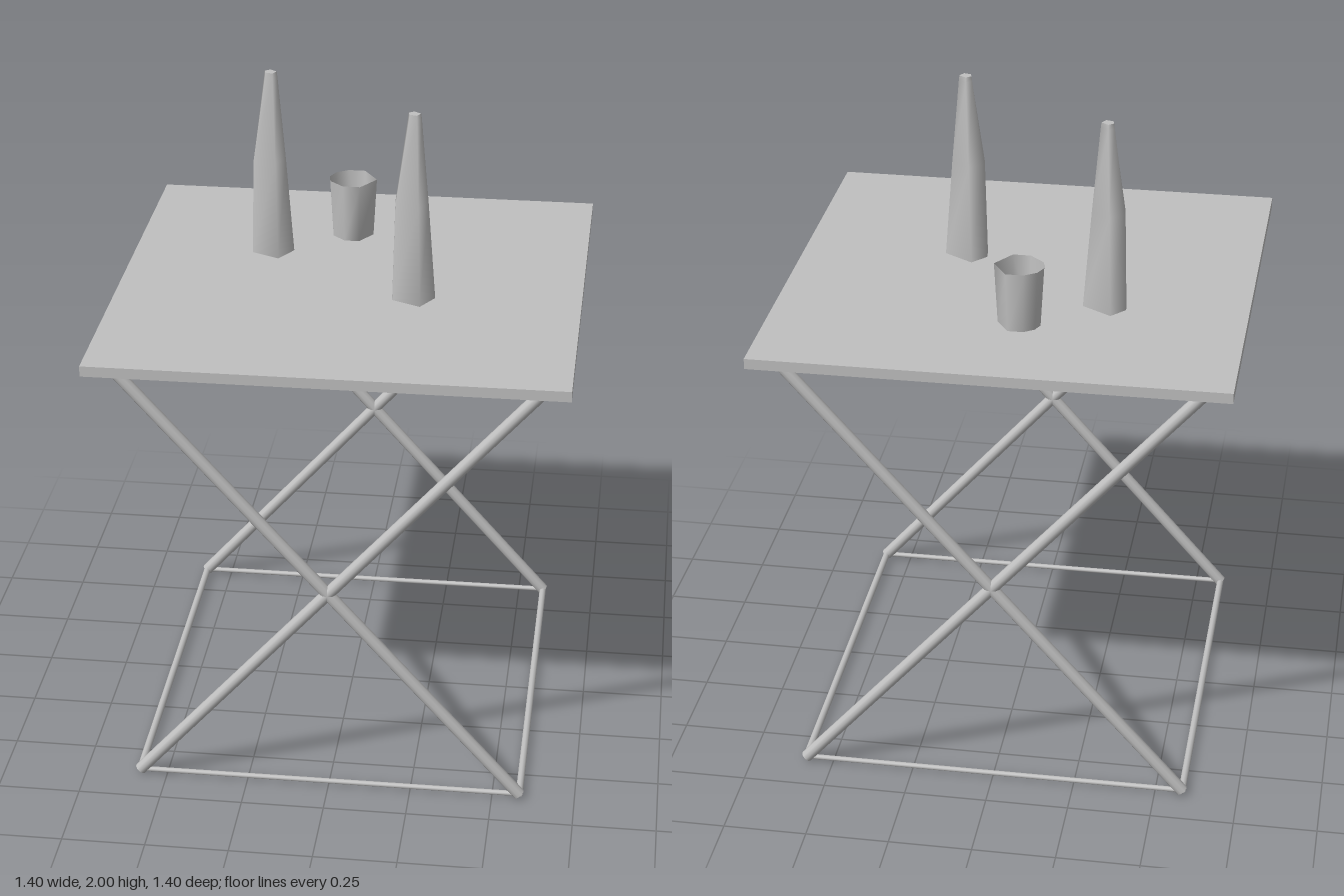
import * as THREE from 'three';

const grey = new THREE.MeshStandardMaterial({ color: 0xc0c0c0, side: THREE.DoubleSide });
grey.name = 'plain grey';

function add(parent, geometry, name) {
  const mesh = new THREE.Mesh(geometry, grey);
  mesh.name = name;
  parent.add(mesh);
  return mesh;
}

// Round bar between two points
function bar(parent, a, b, radius, name) {
  const from = new THREE.Vector3(...a), to = new THREE.Vector3(...b);
  const dir = to.clone().sub(from);
  const mesh = add(parent, new THREE.CylinderGeometry(radius, radius, dir.length(), 10), name);
  mesh.position.copy(from).add(to).multiplyScalar(0.5);
  mesh.quaternion.setFromUnitVectors(new THREE.Vector3(0, 1, 0), dir.normalize());
}

// Skin of stacked rings of [x, y, z] points, running clockwise seen from above
function skin(rings) {
  const n = rings[0].length, index = [];
  for (let r = 0; r < rings.length - 1; r++) {
    for (let i = 0; i < n; i++) {
      const a = r * n + i, b = r * n + (i + 1) % n;
      index.push(a, a + n, b, b, a + n, b + n);
    }
  }
  const g = new THREE.BufferGeometry();
  g.setAttribute('position', new THREE.Float32BufferAttribute(rings.flat(2), 3));
  g.setIndex(index);
  g.computeVertexNormals();
  return g;
}

// Flat cap over one ring
function cap(ring, up) {
  const index = [];
  for (let i = 1; i < ring.length - 1; i++) index.push(0, ...(up ? [i + 1, i] : [i, i + 1]));
  const g = new THREE.BufferGeometry();
  g.setAttribute('position', new THREE.Float32BufferAttribute(ring.flat(), 3));
  g.setIndex(index);
  g.computeVertexNormals();
  return g;
}

const ringAt = (points, y, scale = 1) => points.map(([x, z]) => [x * scale, y, z * scale]);

// Five-sided bottle whose shoulder bulges on its left-hand side only
function bottle(x, z) {
  const group = new THREE.Group();
  group.name = 'bottle';
  const base = [[-0.064, -0.012], [-0.060, 0.026], [0.026, 0.066], [0.066, -0.004], [-0.023, -0.060]];
  const neck = [[-0.021, -0.006], [-0.016, 0.013], [0.008, 0.02], [0.02, -0.002], [-0.004, -0.02]];
  const shoulder = base.map(([bx, bz], i) => {
    if (i < 2) return [bx * 0.88, bz * 0.88];
    return [(bx + neck[i][0]) / 2, (bz + neck[i][1]) / 2];
  });
  const rings = [ringAt(base, 1.417), ringAt(shoulder, 1.72), ringAt(neck, 1.985), ringAt(neck, 2, 0.9)];
  // skin() expects clockwise order from above
  rings.forEach((r) => r.reverse());
  add(group, skin(rings), 'bottleBody');
  add(group, cap(rings[3], false), 'bottleTop');
  add(group, cap(rings[0], true), 'bottleBase');
  // Ring order decides which way the faces look
  group.children.forEach((m) => orient(m.geometry));
  group.position.set(x, 0, z);
  return group;
}

// Flip faces if needed so that they look away from the middle of the part
function orient(g) {
  const p = g.attributes.position, n = g.attributes.normal;
  const mid = new THREE.Vector3(0, 1.7, 0), v = new THREE.Vector3(), m = new THREE.Vector3();
  let sum = 0;
  for (let i = 0; i < p.count; i++) sum += v.fromBufferAttribute(p, i).sub(mid).dot(m.fromBufferAttribute(n, i));
  if (sum < 0) {
    g.setIndex(Array.from(g.index.array).reverse());
    g.computeVertexNormals();
  }
}

// Open tumbler with an uneven eight-sided rim
function cup(x, z) {
  const group = new THREE.Group();
  group.name = 'cup';
  const rim = [[0.074, 0.002], [0.029, 0.072], [-0.024, 0.072], [-0.069, 0.03],
    [-0.075, -0.008], [-0.06, -0.043], [-0.024, -0.068], [0.029, -0.068]];
  const rings = [ringAt(rim, 1.42, 0.86), ringAt(rim, 1.605)];
  const wall = add(group, skin(rings), 'cupWall');
  orient(wall.geometry);
  add(group, cap(rings[0], true), 'cupFloor');
  group.position.set(x, 0, z);
  return group;
}

export function createModel() {
  const model = new THREE.Group();
  model.name = 'foldingTable';

  // Square top
  const top = add(model, new THREE.BoxGeometry(1.396, 0.032, 1.396), 'tableTop');
  top.position.y = 1.4;

  // Crossed legs at front and back, joined by rails along the floor
  const foot = 0.583, side = 0.622;
  for (const z of [side, -side]) {
    for (const s of [1, -1]) {
      bar(model, [s * foot, 0.015, z], [-s * 0.618, 1.375, z], 0.0185, 'leg');
    }
    bar(model, [-foot, 0.016, z], [foot, 0.016, z], 0.008, 'crossRail');
  }
  for (const x of [foot, -foot]) bar(model, [x, 0.016, -side], [x, 0.016, side], 0.011, 'sideRail');

  // Things on the table
  model.add(bottle(-0.273, -0.198), bottle(0.195, 0.112), cup(-0.04, -0.352));
  return model;
}
